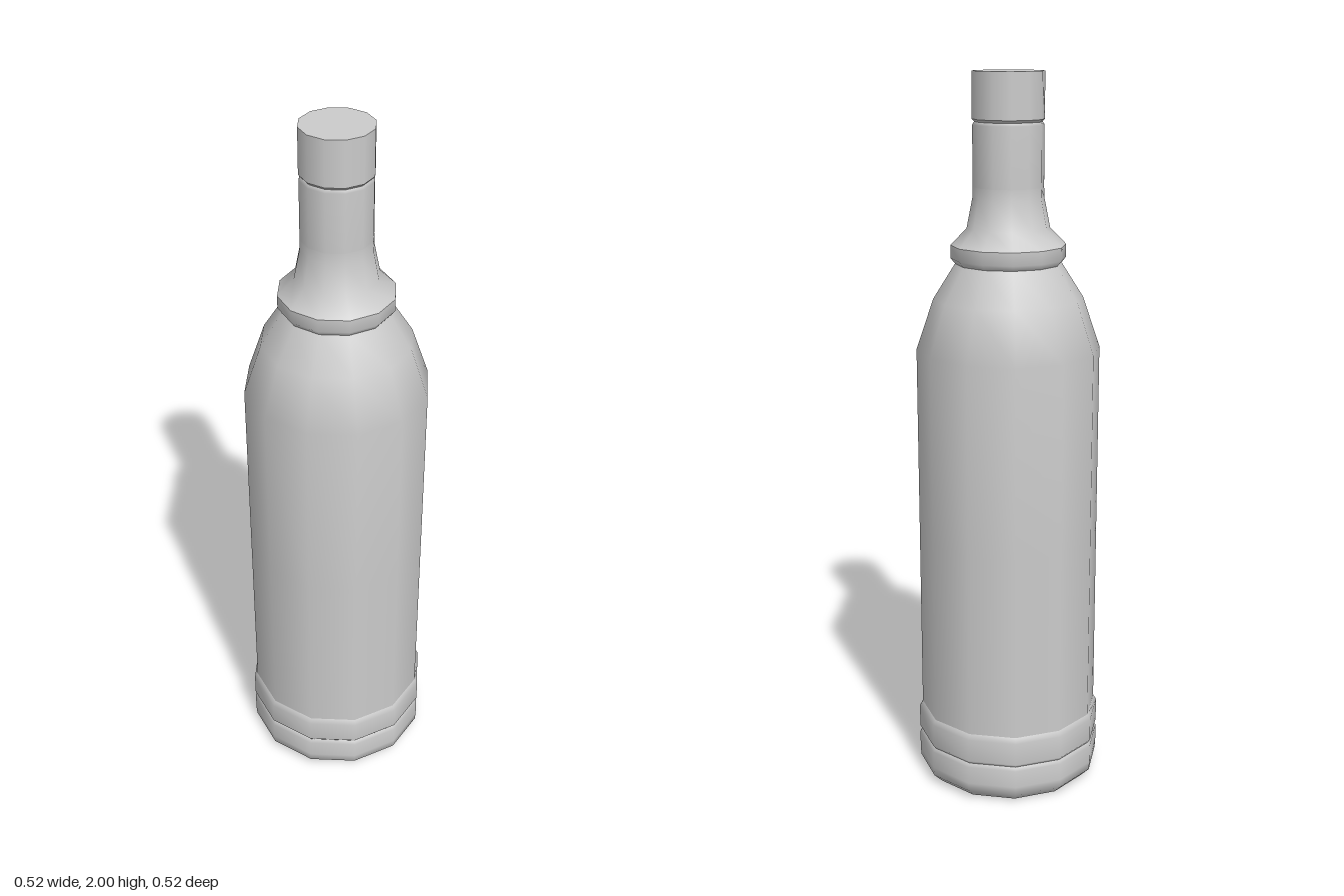
import * as THREE from 'three';

const SIDES = 12;
const material = new THREE.MeshStandardMaterial({ color: 0xcccccc });

// Each profile is one smooth band [radius, height], bottom to top;
// edges stay sharp where one band meets the next.
const parts = {
  base: [
    [[0, 0], [0.235, 0]],
    [[0.235, 0], [0.26, 0.025], [0.262, 0.05], [0.262, 0.1], [0.254, 0.11]],
  ],
  baseBand: [
    [[0.254, 0.11], [0.262, 0.12], [0.262, 0.185], [0.253, 0.2]],
  ],
  body: [
    [[0.253, 0.2], [0.253, 0.73], [0.253, 1.26], [0.205, 1.4], [0.145, 1.495]],
  ],
  collar: [
    [[0.145, 1.495], [0.157, 1.51], [0.157, 1.545]],
    [[0.157, 1.545], [0.113, 1.59], [0.097, 1.67], [0.096, 1.7]],
  ],
  neck: [
    [[0.096, 1.7], [0.096, 1.862], [0.091, 1.87]],
  ],
  cap: [
    [[0.091, 1.87], [0.097, 1.877]],
    [[0.097, 1.877], [0.097, 2]],
    [[0.097, 2], [0, 2]],
  ],
};

function lathe(profile) {
  const points = profile.map(([r, y]) => new THREE.Vector2(r, y));
  return new THREE.Mesh(new THREE.LatheGeometry(points, SIDES), material);
}

export function createModel() {
  const bottle = new THREE.Group();
  bottle.name = 'bottle';
  for (const [name, profiles] of Object.entries(parts)) {
    const part = new THREE.Group();
    part.name = name;
    for (const profile of profiles) part.add(lathe(profile));
    bottle.add(part);
  }
  return bottle;
}
